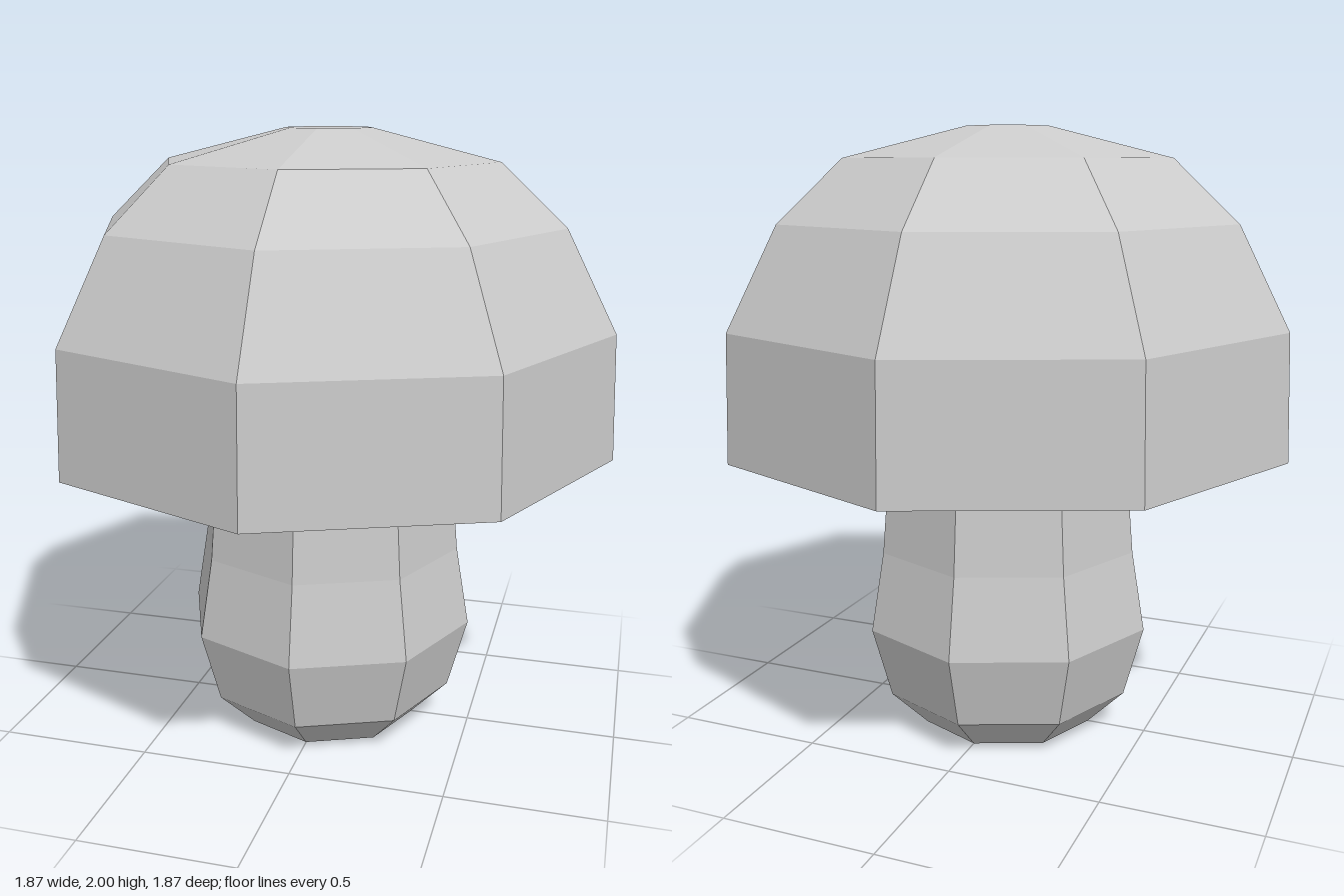
import * as THREE from 'three';

const SIDES = 8;

// Eight-sided lathe from [radius, height] pairs
function turned(name, profile) {
  const points = profile.map(([r, y]) => new THREE.Vector2(r, y));
  const material = new THREE.MeshStandardMaterial({ color: 0xcccccc, flatShading: true });
  const mesh = new THREE.Mesh(new THREE.LatheGeometry(points, SIDES), material);
  mesh.name = name;
  return mesh;
}

export function createModel() {
  const group = new THREE.Group();
  group.name = 'mushroom';

  // Bulging stem, running up to the underside of the cap
  group.add(turned('stem', [
    [0, 0], [0.3, 0], [0.425, 0.125], [0.49, 0.365],
    [0.445, 0.63], [0.415, 0.98], [0.41, 1.17],
  ]));

  // Cap: hollow underside, inner lip, flat rim, then the dome
  group.add(turned('cap', [
    [0.38, 1.167], [0.82, 1.07], [0.82, 0.98], [0.935, 0.98],
    [0.92, 1.385], [0.755, 1.705], [0.545, 1.9], [0.14, 2], [0, 2],
  ]));

  return group;
}
